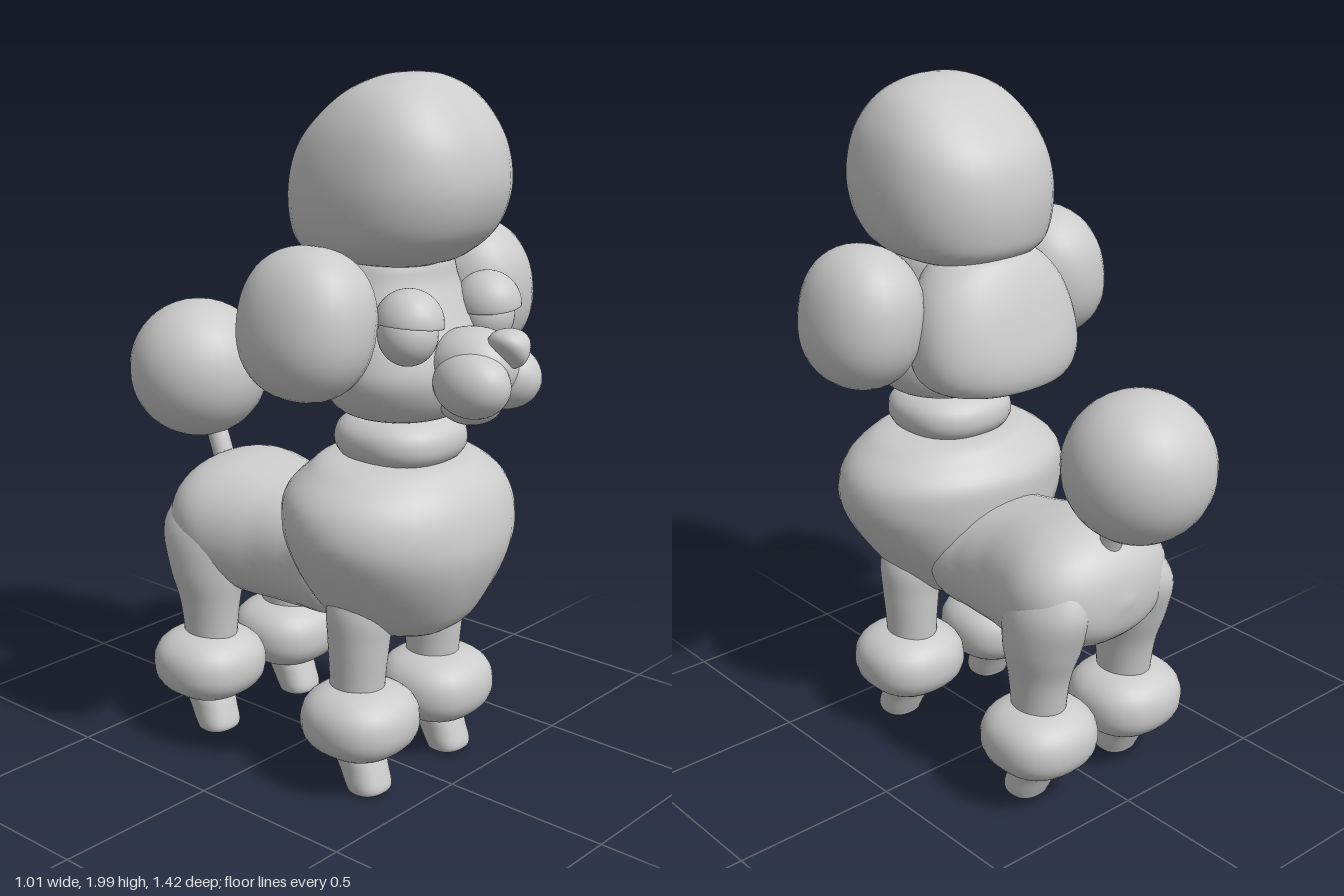
import * as THREE from 'three';
import { mergeVertices } from 'three/addons/utils/BufferGeometryUtils.js';

const material = new THREE.MeshStandardMaterial({ color: 0xcccccc, roughness: 0.8 });

function addMesh(group, name, geometry) {
  const mesh = new THREE.Mesh(geometry, material);
  mesh.name = name;
  group.add(mesh);
  return mesh;
}

// Rounded puff: a sphere pushed towards a box by exponent n, then bent by an optional rule.
function blob(radii, n = 2, rule = null) {
  let g = new THREE.SphereGeometry(1, 32, 24);
  const p = g.attributes.position, v = new THREE.Vector3();
  for (let i = 0; i < p.count; i++) {
    v.fromBufferAttribute(p, i);
    const sum = Math.abs(v.x) ** n + Math.abs(v.y) ** n + Math.abs(v.z) ** n;
    v.multiplyScalar(sum ** (-1 / n));
    if (rule) rule(v);
    p.setXYZ(i, v.x * radii[0], v.y * radii[1], v.z * radii[2]);
  }
  g.deleteAttribute('uv');
  g.deleteAttribute('normal');
  g = mergeVertices(g, 1e-5);
  g.computeVertexNormals();
  return g;
}

// Smooth skin over rings [t, half width, low edge, high edge, x centre], stacked along y or z.
// The edges are z limits when stacked along y, and y limits when stacked along z.
function loft(rows, { axis = 'y', n = 2, side = 1, cleft = 0 } = {}) {
  const widths = new THREE.CatmullRomCurve3(rows.map(r => new THREE.Vector3(r[0], r[1], (r[4] || 0) * side)), false, 'catmullrom');
  const edges = new THREE.CatmullRomCurve3(rows.map(r => new THREE.Vector3(r[0], r[2], r[3])), false, 'catmullrom');
  const steps = (rows.length - 1) * 5, segs = 40, pos = [], index = [];
  for (let i = 0; i <= steps; i++) {
    const w = widths.getPoint(i / steps), e = edges.getPoint(i / steps);
    const rx = Math.max(w.y, 0), rv = Math.max((e.z - e.y) / 2, 0), mid = (e.y + e.z) / 2;
    for (let j = 0; j < segs; j++) {
      const a = j / segs * Math.PI * 2, c = Math.cos(a), s = Math.sin(a);
      const k = (Math.abs(c) ** n + Math.abs(s) ** n) ** (-1 / n);
      const x = w.z + rx * c * k;
      let v = rv * s * k;
      if (s > 0) v *= 1 - cleft * Math.exp(-((c / 0.2) ** 2));
      if (axis === 'y') pos.push(x, w.x, mid + v);
      else pos.push(x, mid - v, w.x);
      if (i < steps) {
        const p = i * segs + j, q = i * segs + (j + 1) % segs;
        index.push(p, p + segs, q, q, p + segs, q + segs);
      }
    }
  }
  let g = new THREE.BufferGeometry();
  g.setAttribute('position', new THREE.Float32BufferAttribute(pos, 3));
  g.setIndex(index);
  g = mergeVertices(g, 1e-5);
  g.computeVertexNormals();
  return g;
}

export function createModel() {
  const model = new THREE.Group();
  model.name = 'poodle';
  const puff = (name, at, radii, n, rule) => {
    const mesh = addMesh(model, name, blob(radii, n, rule));
    mesh.position.set(...at);
    return mesh;
  };

  // Trunk: fluffy chest, slim waist and haunches, collar of the neck
  addMesh(model, 'chest', loft([
    [0.425, 0, 0.27, 0.27], [0.45, 0.11, 0.12, 0.41], [0.5, 0.19, 0.06, 0.5], [0.6, 0.275, 0.02, 0.56],
    [0.7, 0.338, 0, 0.593], [0.78, 0.365, -0.005, 0.593], [0.86, 0.35, 0, 0.57],
    [0.92, 0.29, 0.05, 0.525], [0.96, 0.2, 0.11, 0.46], [0.97, 0, 0.29, 0.29]], { cleft: 0.03 }));
  addMesh(model, 'haunches', loft([
    [-0.485, 0, 0.65, 0.65], [-0.465, 0.13, 0.56, 0.74], [-0.42, 0.21, 0.51, 0.8], [-0.36, 0.25, 0.48, 0.835],
    [-0.28, 0.262, 0.445, 0.845], [-0.18, 0.24, 0.43, 0.835], [-0.08, 0.215, 0.43, 0.815],
    [0.03, 0.208, 0.435, 0.795], [0.15, 0.2, 0.46, 0.78], [0.2, 0, 0.62, 0.62]], { axis: 'z', n: 2.2 }));
  puff('neck', [0, 1.01, 0.295], [0.175, 0.085, 0.175], 2.4);

  // Head, hair behind it and topknot
  addMesh(model, 'head', loft([
    [1.065, 0, 0.3, 0.3], [1.08, 0.14, 0.17, 0.43], [1.12, 0.21, 0.11, 0.485], [1.2, 0.25, 0.1, 0.518],
    [1.28, 0.24, 0.1, 0.505], [1.36, 0.21, 0.1, 0.47], [1.45, 0.19, 0.1, 0.43], [1.53, 0.15, 0.12, 0.4],
    [1.55, 0, 0.26, 0.26]]));
  addMesh(model, 'backHair', loft([
    [1.15, 0, 0.06, 0.06], [1.155, 0.18, -0.055, 0.2], [1.185, 0.245, -0.085, 0.24], [1.25, 0.27, -0.09, 0.26],
    [1.34, 0.265, -0.07, 0.26], [1.43, 0.235, -0.04, 0.26], [1.5, 0.18, -0.005, 0.25],
    [1.53, 0.12, 0.03, 0.22], [1.54, 0, 0.12, 0.12]], { n: 2.2 }));
  addMesh(model, 'topknot', loft([
    [1.49, 0, 0.24, 0.24], [1.5, 0.14, 0.08, 0.4], [1.535, 0.22, 0.015, 0.47], [1.6, 0.258, -0.008, 0.535],
    [1.7, 0.27, -0.012, 0.57], [1.8, 0.258, 0.015, 0.56], [1.88, 0.23, 0.08, 0.52],
    [1.95, 0.175, 0.165, 0.455], [1.99, 0.09, 0.25, 0.385], [2, 0, 0.32, 0.32]], { n: 2.4, cleft: 0.04 }));

  // Muzzle, jaw and heart-shaped nose
  puff('muzzle', [0, 1.25, 0.54], [0.115, 0.1, 0.13], 2.1);
  puff('jaw', [0, 1.145, 0.53], [0.08, 0.06, 0.09]);
  puff('nose', [0, 1.31, 0.65], [0.06, 0.052, 0.06], 2.2, v => { v.x *= 0.7 + 0.42 * v.y; });

  // Tail and its pom-pom
  const tailPath = new THREE.CatmullRomCurve3([
    new THREE.Vector3(0, 0.74, -0.38), new THREE.Vector3(0, 0.83, -0.41), new THREE.Vector3(0, 0.93, -0.45)]);
  addMesh(model, 'tail', new THREE.TubeGeometry(tailPath, 10, 0.033, 14));
  puff('tailPompom', [0, 1.068, -0.503], [0.21, 0.21, 0.21], 2.05);

  for (const s of [1, -1]) {
    const label = s > 0 ? 'left' : 'right';

    // Face and ear of this side
    puff(label + 'Cheek', [s * 0.069, 1.215, 0.585], [0.084, 0.09, 0.112]);
    puff(label + 'Eye', [s * 0.168, 1.345, 0.45], [0.08, 0.083, 0.08]);
    const lid = puff(label + 'Eyelid', [s * 0.17, 1.375, 0.455], [0.089, 0.092, 0.095], 2, v => { v.y = Math.max(v.y, -0.05); });
    lid.rotation.z = s * 0.12;
    const ear = puff(label + 'Ear', [s * 0.345, 1.373, 0.255], [0.158, 0.203, 0.19], 2.25);
    ear.rotation.z = s * 0.18;

    // Legs with cuffs and small slanted paws
    addMesh(model, label + 'FrontLeg', loft([
      [0.2, 0.07, 0.21, 0.36, 0.17], [0.34, 0.075, 0.205, 0.37, 0.17], [0.45, 0.085, 0.2, 0.38, 0.168],
      [0.54, 0.09, 0.195, 0.388, 0.165], [0.62, 0.07, 0.22, 0.37, 0.16]], { side: s }));
    addMesh(model, label + 'HindLeg', loft([
      [0.2, 0.07, -0.37, -0.22, 0.17], [0.33, 0.075, -0.385, -0.21, 0.17], [0.42, 0.085, -0.4, -0.2, 0.17],
      [0.52, 0.105, -0.435, -0.185, 0.168], [0.64, 0.105, -0.465, -0.18, 0.16], [0.75, 0.06, -0.42, -0.2, 0.14]], { side: s }));
    for (const [end, z] of [['Front', 0.3], ['Hind', -0.302]]) {
      puff(label + end + 'Cuff', [s * 0.172, 0.217, z], [0.161, 0.108, 0.16], 2.4);
      addMesh(model, label + end + 'Paw', loft([
        [0.008, 0, z + 0.04, z + 0.04, 0.182], [0.01, 0.05, z - 0.005, z + 0.085, 0.182],
        [0.03, 0.062, z - 0.02, z + 0.103, 0.182], [0.08, 0.066, z - 0.045, z + 0.088, 0.18],
        [0.13, 0.073, z - 0.07, z + 0.07, 0.178], [0.17, 0.07, z - 0.07, z + 0.06, 0.175]], { side: s, n: 2.4 }));
    }
  }
  return model;
}
